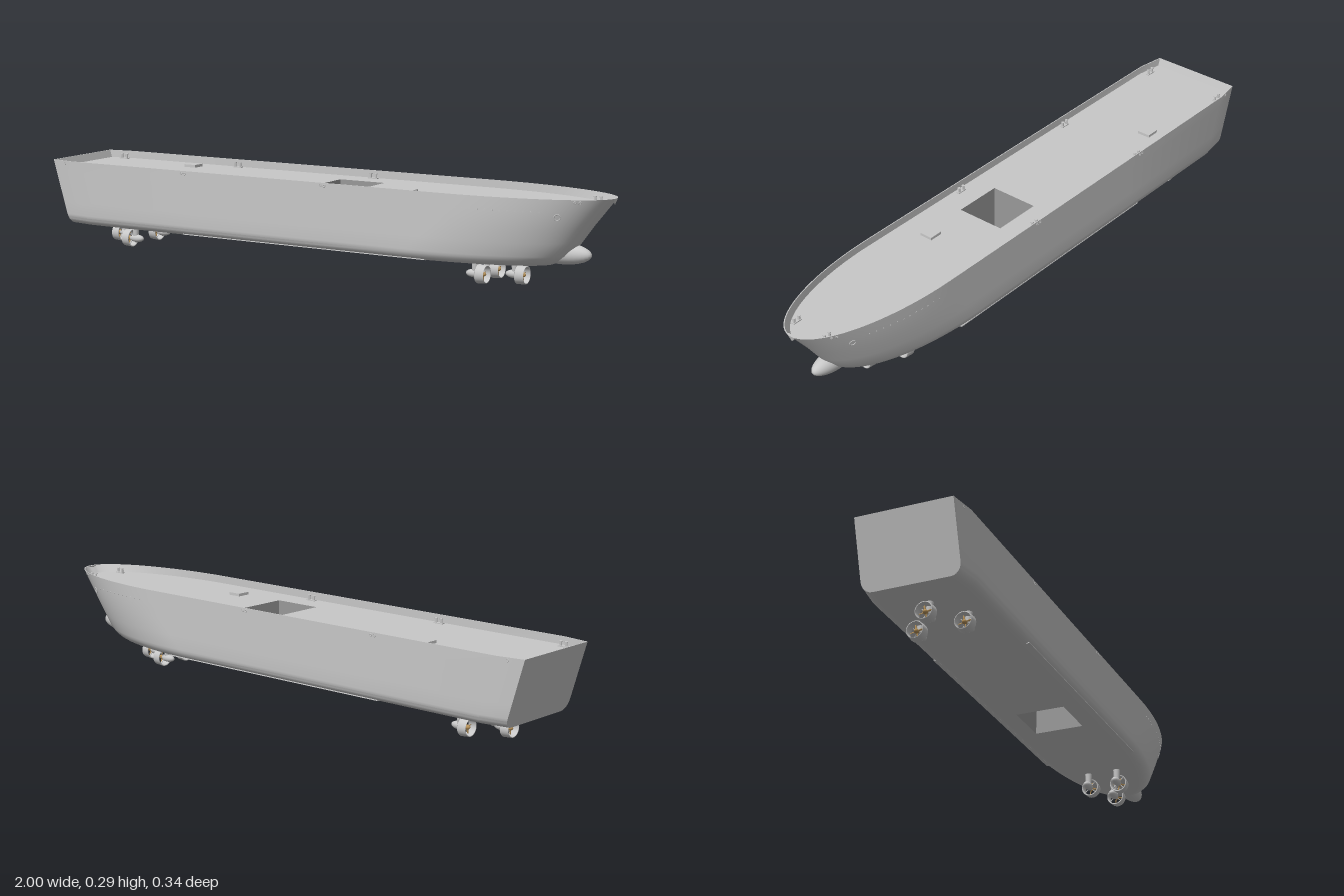
import * as THREE from 'three';
import { toCreasedNormals } from 'three/addons/utils/BufferGeometryUtils.js';

const BOTTOM = 0.073, TOP = 0.29, DECK = 0.265, BEAM = 0.171, BILGE = 0.034;
const POOL = { x0: 0, x1: 0.165, z: 0.082 };

// Stem profile: [height, x]
const STEM = [[0.073, 0.80], [0.085, 0.83], [0.107, 0.86], [0.15, 0.892], [0.2, 0.928], [0.25, 0.968], [0.29, 1.0]];
function bowEnd(y) {
  for (let i = 1; i < STEM.length; i++) {
    const [y0, x0] = STEM[i - 1], [y1, x1] = STEM[i];
    if (y <= y1) return x0 + (x1 - x0) * (y - y0) / (y1 - y0);
  }
  return 1;
}
const rise = y => (y - BOTTOM) / (TOP - BOTTOM);
const sternEnd = y => -0.935 - 0.065 * rise(y);
const bowStart = y => 0.34 + 0.16 * Math.min(1, rise(y) * 1.5);
const hullZ = (x, y) => BEAM * Math.sqrt(Math.max(0, 1 - Math.max(0, (x - bowStart(y)) / (bowEnd(y) - bowStart(y))) ** 2));

// One closed waterline: stern to bow on +z, then back on -z
function waterline(y, w = BEAM, inset = 0) {
  const s = sternEnd(y) + inset, b = bowStart(y), e = bowEnd(y) - inset * 1.3;
  w -= inset;
  const half = [[s, w - 0.014], [s + 0.09, w], [-0.4, w], [0, w]];
  for (let i = 0; i <= 28; i++) {
    const t = (i / 28) * Math.PI / 2;
    half.push([b + (e - b) * Math.sin(t), w * Math.cos(t)]);
  }
  const back = half.slice(0, -1).reverse().map(([x, z]) => [x, -z]);
  return [...half, ...back].map(([x, z]) => new THREE.Vector3(x, y, z));
}

// Skin between successive closed rings
function loft(rings) {
  const n = rings[0].length, pos = [], idx = [];
  rings.forEach(r => r.forEach(p => pos.push(p.x, p.y, p.z)));
  for (let k = 0; k < rings.length - 1; k++) {
    for (let i = 0; i < n; i++) {
      const a = k * n + i, b = k * n + (i + 1) % n;
      idx.push(a, b, b + n, a, b + n, a + n);
    }
  }
  const g = new THREE.BufferGeometry();
  g.setAttribute('position', new THREE.Float32BufferAttribute(pos, 3));
  g.setIndex(idx);
  return toCreasedNormals(g, 0.5);
}

// Flat plate filling a waterline, with the well cut out
function plate(ring, up) {
  const shape = new THREE.Shape(ring.map(p => new THREE.Vector2(p.x, -p.z)));
  const { x0, x1, z } = POOL;
  shape.holes.push(new THREE.Path([[x0, -z], [x1, -z], [x1, z], [x0, z]].map(p => new THREE.Vector2(...p))));
  const g = new THREE.ShapeGeometry(shape);
  g.rotateX(up ? -Math.PI / 2 : Math.PI / 2);
  g.translate(0, ring[0].y, 0);
  return g;
}

export function createModel() {
  const ship = new THREE.Group();
  ship.name = 'ship';
  const material = (name, color) => Object.assign(new THREE.MeshStandardMaterial({ color }), { name });
  const hullGrey = material('hull grey', 0xc8c8c8);
  const wellGrey = material('well grey', 0x999999);
  const bronze = material('propeller bronze', 0xb8935a);

  function add(parent, name, geo, mat, x = 0, y = 0, z = 0) {
    const m = new THREE.Mesh(geo, mat);
    m.name = name;
    m.position.set(x, y, z);
    parent.add(m);
    return m;
  }

  // Hull shell: rounded bilge, sides, bulwark top and its inner face
  const rings = [];
  for (let i = 0; i <= 6; i++) {
    const t = (i / 6) * Math.PI / 2;
    rings.push(waterline(BOTTOM + BILGE * (1 - Math.cos(t)), BEAM - BILGE * (1 - Math.sin(t))));
  }
  for (const y of [0.15, 0.2, 0.25, TOP]) rings.push(waterline(y));
  const deckRing = waterline(DECK, BEAM, 0.003);
  rings.push(waterline(TOP, BEAM, 0.003), deckRing);
  add(ship, 'hull', loft(rings), hullGrey);
  add(ship, 'hullBottom', plate(rings[0], false), hullGrey);
  add(ship, 'deck', plate(deckRing, true), hullGrey);

  // Open well through the hull
  const well = y => [[POOL.x0, -1], [POOL.x1, -1], [POOL.x1, 1], [POOL.x0, 1]]
    .map(([x, s]) => new THREE.Vector3(x, y, s * POOL.z));
  add(ship, 'wellWalls', loft([well(BOTTOM), well(DECK)]), wellGrey);

  // Bulbous bow
  const bulb = new THREE.SphereGeometry(0.034, 32, 20);
  bulb.scale(2.9, 1, 1);
  add(ship, 'bulbousBow', bulb, hullGrey, 0.826, 0.11, 0);

  // Small wedge at the top of the stem
  const wedge = new THREE.ConeGeometry(0.02, 0.02, 24);
  wedge.rotateX(Math.PI);
  wedge.scale(0.25, 1, 1);
  add(ship, 'stemWedge', wedge, hullGrey, 0.995, TOP - 0.01, 0);

  // Deck hatches
  for (const [x, z] of [[-0.592, -0.092], [0.33, 0.062]]) {
    add(ship, 'hatch', new THREE.BoxGeometry(0.045, 0.009, 0.045), hullGrey, x, DECK + 0.0045, z);
  }

  // Bollard pairs
  const post = new THREE.CylinderGeometry(0.004, 0.004, 0.014, 12);
  const cap = new THREE.CylinderGeometry(0.0052, 0.0052, 0.003, 12);
  for (const [x, z] of [[-0.925, 0.143], [-0.45, 0.152], [0.083, 0.152], [0.915, 0.062]]) {
    for (const s of [-1, 1]) {
      const pair = new THREE.Group();
      pair.name = 'bollardPair';
      pair.position.set(x, DECK, s * z);
      add(pair, 'bollardBase', new THREE.BoxGeometry(0.034, 0.003, 0.012), hullGrey, 0, 0.0015, 0);
      for (const dx of [-0.01, 0.01]) {
        add(pair, 'bollardPost', post, hullGrey, dx, 0.008, 0);
        add(pair, 'bollardCap', cap, hullGrey, dx, 0.016, 0);
      }
      ship.add(pair);
    }
  }

  // Round fittings set on the hull side, facing outward
  function onSide(name, geo, mat, x, y, s) {
    const d = 0.004;
    const slope = (hullZ(x + d, y) - hullZ(x - d, y)) / (2 * d);
    const drop = (hullZ(x, y + d) - hullZ(x, y - d)) / (2 * d);
    const n = new THREE.Vector3(-slope, -drop, 1).normalize();
    n.z *= s;
    const m = add(ship, name, geo, mat, x, y, s * hullZ(x, y));
    m.quaternion.setFromUnitVectors(new THREE.Vector3(0, 0, 1), n);
  }
  const disc = new THREE.CylinderGeometry(0.0027, 0.0027, 0.002, 14);
  disc.rotateX(Math.PI / 2);
  const hawse = new THREE.TorusGeometry(0.0095, 0.0014, 10, 28);
  const fairlead = new THREE.TorusGeometry(0.0038, 0.0015, 8, 18);
  for (const s of [-1, 1]) {
    for (let i = 0; i < 12; i++) onSide('porthole', disc, hullGrey, 0.55 + i * 0.0235, 0.25, s);
    onSide('hawsePipe', hawse, hullGrey, 0.857, 0.235, s);
    for (const x of [-0.45, 0.083, 0.915]) {
      for (const dx of [-0.007, 0.007]) onSide('fairlead', fairlead, hullGrey, x + dx, 0.281, s);
    }
    add(ship, 'sternFairlead', fairlead, hullGrey, -0.945, 0.281, s * 0.165);
    // Bilge keel
    const keel = add(ship, 'bilgeKeel', new THREE.BoxGeometry(0.9, 0.003, 0.014), hullGrey, -0.01, 0.0765, s * 0.152);
    keel.rotation.x = -s * 0.2;
  }

  // Steerable thrusters; dir is the side the nozzle lies on
  const nozzleGeo = new THREE.LatheGeometry(
    [[0.026, -0.015], [0.028, -0.015], [0.03, 0.013], [0.029, 0.015], [0.026, 0.013], [0.0245, 0], [0.026, -0.015]]
      .map(p => new THREE.Vector2(...p)), 36);
  nozzleGeo.rotateZ(Math.PI / 2);
  const podGeo = new THREE.SphereGeometry(0.013, 20, 14);
  podGeo.scale(2.2, 1, 1);
  const hubGeo = new THREE.SphereGeometry(0.0075, 16, 12);
  hubGeo.scale(1.5, 1, 1);
  const bladeGeo = new THREE.SphereGeometry(0.009, 12, 8);
  bladeGeo.scale(0.14, 1, 0.32);
  function thruster(x, z, dir) {
    const g = new THREE.Group();
    g.name = 'thruster';
    g.position.set(x, 0.03, z);
    if (dir < 0) g.rotation.y = Math.PI;
    add(g, 'strut', new THREE.CylinderGeometry(0.012, 0.009, 0.046, 20), hullGrey, 0, 0.023, 0);
    add(g, 'pod', podGeo, hullGrey, -0.003, 0, 0);
    add(g, 'nozzle', nozzleGeo, hullGrey, 0.025, 0, 0);
    add(g, 'propellerHub', hubGeo, bronze, 0.026, 0, 0);
    for (let i = 0; i < 4; i++) {
      const arm = new THREE.Group();
      arm.name = 'propellerBlade';
      arm.rotation.x = i * Math.PI / 2 + 0.2;
      add(arm, 'blade', bladeGeo, bronze, 0.026, 0.0135, 0).rotation.y = 0.6;
      g.add(arm);
      // Stay holding the nozzle to the pod
      const stay = new THREE.Group();
      stay.name = 'nozzleStay';
      stay.rotation.x = i * Math.PI / 2 + Math.PI / 4;
      add(stay, 'stay', new THREE.BoxGeometry(0.004, 0.018, 0.002), hullGrey, 0.013, 0.017, 0);
      g.add(stay);
    }
    ship.add(g);
  }
  thruster(0.672, 0, 1);
  thruster(-0.815, 0, -1);
  for (const s of [-1, 1]) {
    thruster(0.562, s * 0.052, 1);
    thruster(-0.715, s * 0.077, -1);
  }
  return ship;
}
